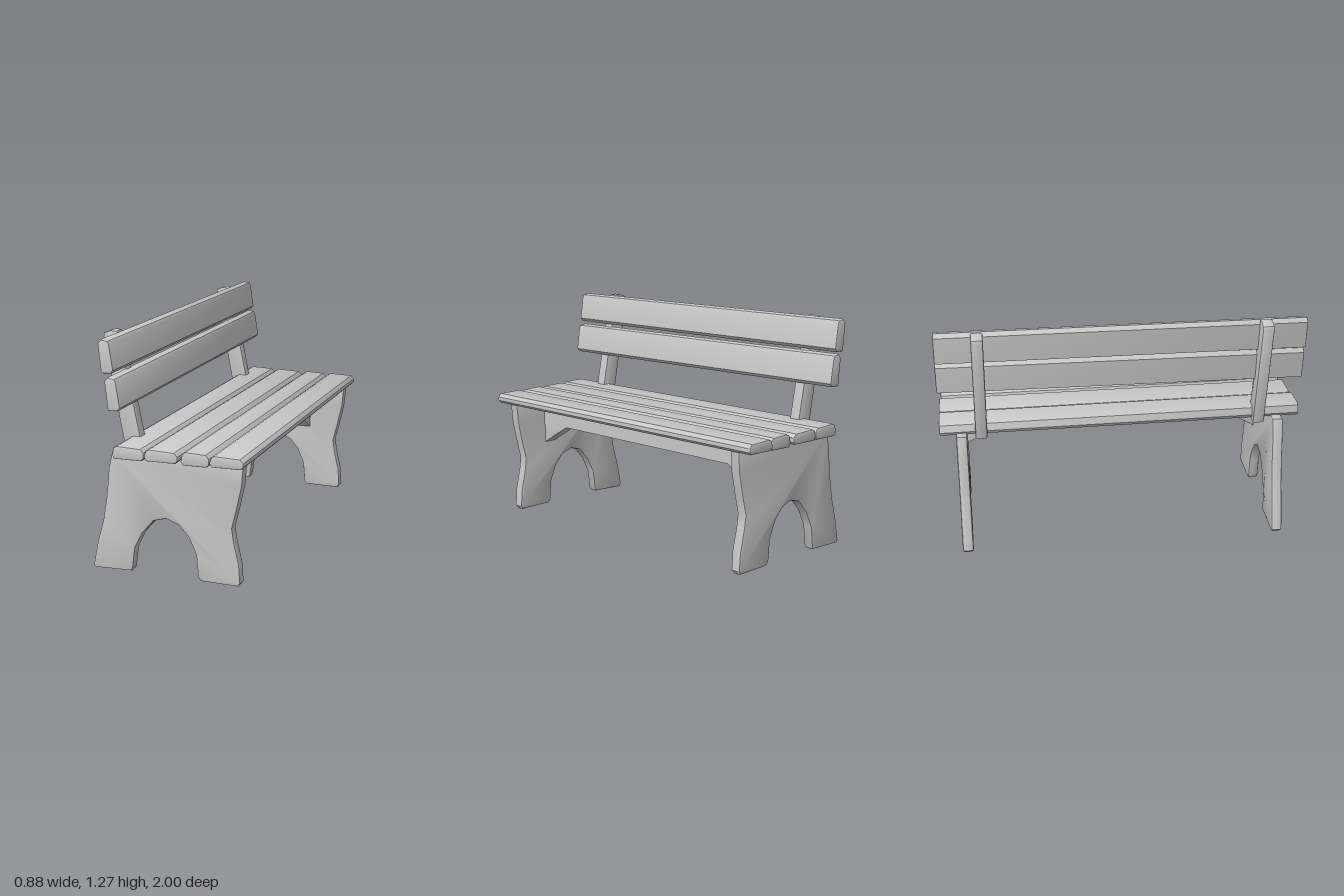
import * as THREE from 'three';
import { toCreasedNormals } from 'three/addons/utils/BufferGeometryUtils.js';

export function createModel() {
  const bench = new THREE.Group();
  bench.name = 'bench';
  const grey = new THREE.MeshStandardMaterial({ color: 0xc8c8c8 });
  grey.name = 'paleGrey';

  // Extrudes an outline along z between z0 and z1, with rounded ends
  function slab(outline, z0, z1, bevel) {
    const shape = new THREE.Shape(outline.map(([x, y]) => new THREE.Vector2(x, y)));
    const g = new THREE.ExtrudeGeometry(shape, {
      depth: z1 - z0 - 2 * bevel, bevelThickness: bevel, bevelSize: bevel,
      bevelOffset: -bevel, bevelSegments: 2,
    });
    g.translate(0, 0, z0 + bevel);
    return g;
  }

  // Shifts vertices in proportion to z, so boards sit a little crooked
  function skew(g, dx, dy) {
    const p = g.attributes.position;
    for (let i = 0; i < p.count; i++) {
      p.setX(i, p.getX(i) + dx * p.getZ(i));
      p.setY(i, p.getY(i) + dy * p.getZ(i));
    }
    return g;
  }

  function add(name, geometry, crease = 0.7) {
    const mesh = new THREE.Mesh(toCreasedNormals(geometry, crease), grey);
    mesh.name = name;
    bench.add(mesh);
    return mesh;
  }

  // End panels with an arched cut-out forming two feet
  const legOutline = [
    [-0.43, 0.0], [-0.22, 0.01], [-0.21, 0.025], [-0.195, 0.14], [-0.15, 0.23],
    [-0.085, 0.305], [-0.015, 0.325], [0.055, 0.30], [0.11, 0.24], [0.15, 0.15],
    [0.16, 0.03], [0.178, 0.01], [0.38, 0.01], [0.395, 0.03], [0.388, 0.13],
    [0.36, 0.25], [0.35, 0.32], [0.375, 0.42], [0.403, 0.55], [0.412, 0.66],
    [-0.315, 0.66], [-0.338, 0.57], [-0.355, 0.41], [-0.38, 0.27], [-0.415, 0.15],
    [-0.443, 0.015],
  ];
  add('legPanelFront', slab(legOutline, 0.84, 0.90, 0.012));
  add('legPanelBack', slab(legOutline, -0.91, -0.85, 0.012));

  // Seat boards: left x, right x, top y, bottom y, z ends, sideways skew
  const seatBoards = [
    [-0.27, -0.092, 0.72, 0.65, -1, 1, 0.004],
    [-0.095, 0.09, 0.717, 0.653, -1, 0.99, 0.003],
    [0.1, 0.255, 0.72, 0.648, -0.99, 0.975, 0.002],
    [0.255, 0.437, 0.718, 0.657, -1, 0.98, 0.004],
  ];
  seatBoards.forEach(([l, r, t, b, z0, z1, dx], i) => {
    const outline = [
      [l + 0.012, b], [r - 0.015, b + 0.003], [r, b + 0.018], [r, t - 0.022],
      [r - 0.018, t - 0.003], [l + 0.03, t], [l + 0.01, t - 0.01], [l, b + 0.02],
    ];
    add('seatBoard' + (i + 1), skew(slab(outline, z0, z1, 0.008), dx, 0));
  });

  // Leaning backrest boards
  const backOutline = [
    [-0.032, -0.088], [0.022, -0.086], [0.037, -0.068], [0.016, 0.065],
    [0.008, 0.078], [-0.028, 0.085], [-0.048, 0.064],
  ];
  [['backBoardLower', -0.25, 0.995], ['backBoardUpper', -0.282, 1.182]].forEach(([name, x, y], i) => {
    const mesh = add(name, skew(slab(backOutline, -1, 1, 0.008), 0, i ? -0.005 : -0.009));
    mesh.position.set(x, y, 0);
  });

  // Posts holding the backrest
  const postOutline = [
    [-0.285, 0.63], [-0.19, 0.63], [-0.2, 0.72], [-0.305, 1.24], [-0.32, 1.268],
    [-0.355, 1.27], [-0.395, 1.255], [-0.4, 1.235],
  ];
  add('backPostFront', slab(postOutline, 0.735, 0.80, 0.01));
  add('backPostBack', slab(postOutline, -0.805, -0.74, 0.01));

  // Beam under the seat with a sloping brace at each end
  const beam = new THREE.BoxGeometry(0.09, 0.135, 1.72);
  beam.translate(0.155, 0.587, 0);
  add('seatBeam', beam);
  for (const s of [1, -1]) {
    const brace = slab([[s * 0.86, 0.39], [s * 0.63, 0.525], [s * 0.86, 0.525]], -0.04, 0.04, 0.004);
    brace.rotateY(-Math.PI / 2);
    brace.translate(0.155, 0, 0);
    add(s > 0 ? 'beamBraceFront' : 'beamBraceBack', brace);
  }

  return bench;
}
